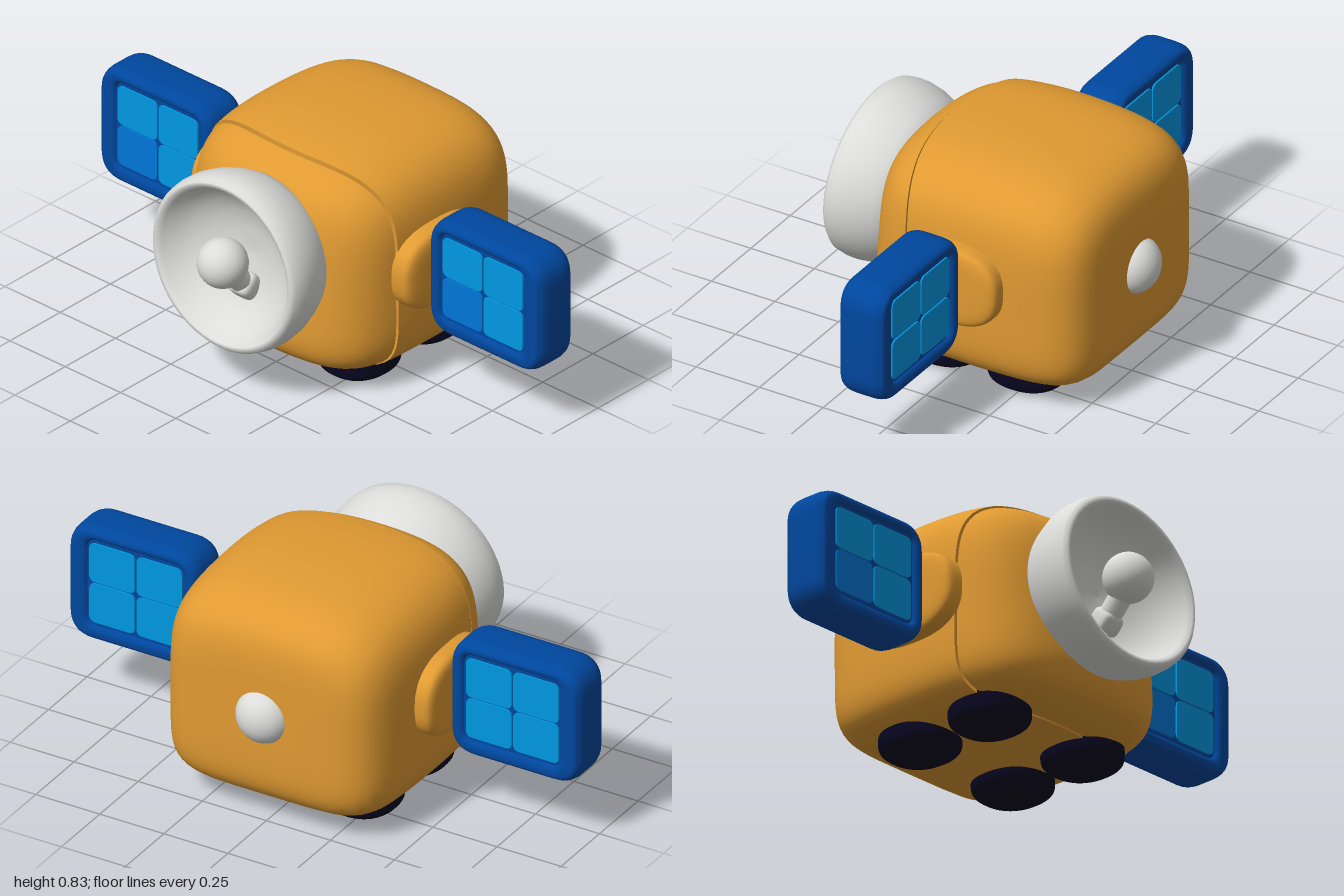
import * as THREE from 'three';
import { mergeVertices, toCreasedNormals } from 'three/addons/utils/BufferGeometryUtils.js';

const paint = (name, color) => {
  const m = new THREE.MeshStandardMaterial({ color });
  m.name = name;
  return m;
};

// Move every vertex by a rule, then weld and smooth
function reshape(g, rule) {
  const pos = g.attributes.position;
  const uv = g.attributes.uv;
  const v = new THREE.Vector3();
  for (let i = 0; i < pos.count; i++) {
    v.fromBufferAttribute(pos, i);
    rule(v, uv.getX(i), uv.getY(i));
    pos.setXYZ(i, v.x, v.y, v.z);
  }
  g.deleteAttribute('normal');
  g.deleteAttribute('uv');
  const merged = mergeVertices(g, 1e-5);
  merged.computeVertexNormals();
  return merged;
}

const power = (p, q, n) => Math.pow(Math.abs(p) ** n + Math.abs(q) ** n, 1 / n);

// Soft pillow block: exponent a rounds the x-y outline, b rounds the z edges
function softBox(hx, hy, hz, a, b, segments) {
  return reshape(new THREE.BoxGeometry(2, 2, 2, segments, segments, segments), (v) => {
    v.divideScalar(power(power(v.x, v.y, a), v.z, b));
    v.set(v.x * hx, v.y * hy, v.z * hz);
  });
}

// Half of the body, from a bowed seam to the front (side 1) or back (side -1) pole
function bodyShell(hx, hy, b, side, gap) {
  const rows = 36;
  const g = new THREE.PlaneGeometry(1, 1, 112, rows);
  return toCreasedNormals(reshape(g, (v, u, w) => {
    const row = Math.round((side > 0 ? w : 1 - w) * rows);
    const angle = u * Math.PI * 2;
    const c = Math.cos(angle), s = Math.sin(angle);
    const d = power(c, s, s > 0 ? 4.2 : 5.5);
    const ox = c / d, oy = s / d;
    const zSeam = (0.28 - 0.04 * ox * ox + 0.017 * oy + gap) / 0.45;
    const start = Math.atan2(zSeam, Math.pow(1 - zSeam ** b, 1 / b));
    const t = Math.max(0, row - 1) / (rows - 1);
    const tilt = THREE.MathUtils.lerp(start, side * Math.PI / 2, t);
    const k = power(Math.cos(tilt), Math.sin(tilt), b);
    const r = Math.cos(tilt) / k, zn = Math.sin(tilt) / k;
    const xn = ox * r, yn = oy * r;
    // Domed roof, flat belly, tapered ends and bowed front
    let x = hx * xn * (1 - 0.06 * zn * zn);
    let y = hy * yn * (yn > 0 ? 1 - 0.1 * zn * zn - 0.06 * xn * xn : 0.79);
    let z = 0.45 * zn;
    if (zn > 0) z -= zn * (y * 0.07 + 0.06 * xn * xn);
    // First row is a lip turned inward at the seam
    if (row === 0) {
      x *= 0.93;
      y *= 0.93;
    }
    v.set(x, y, z);
  }), 0.6);
}

function roundedRect(target, w, h, r, cx = 0, cy = 0) {
  const x = w / 2, y = h / 2;
  target.moveTo(cx - x + r, cy - y);
  target.lineTo(cx + x - r, cy - y);
  target.quadraticCurveTo(cx + x, cy - y, cx + x, cy - y + r);
  target.lineTo(cx + x, cy + y - r);
  target.quadraticCurveTo(cx + x, cy + y, cx + x - r, cy + y);
  target.lineTo(cx - x + r, cy + y);
  target.quadraticCurveTo(cx - x, cy + y, cx - x, cy + y - r);
  target.lineTo(cx - x, cy - y + r);
  target.quadraticCurveTo(cx - x, cy - y, cx - x + r, cy - y);
  return target;
}

export function createModel() {
  const model = new THREE.Group();
  model.name = 'satellite';
  const orange = paint('orange shell', 0xe09a32);
  const white = paint('off white', 0xdcdcda);
  const navy = paint('panel frame blue', 0x00479e);
  const cyan = paint('solar cell blue', 0x0098e2);
  const midBlue = paint('deep cell blue', 0x0076d8);
  const dark = paint('dark feet', 0x080520);

  const add = (parent, name, geometry, material, x = 0, y = 0, z = 0) => {
    const mesh = new THREE.Mesh(geometry, material);
    mesh.name = name;
    mesh.position.set(x, y, z);
    parent.add(mesh);
    return mesh;
  };

  // Body: two shells with a fine groove between them, and a core behind the groove
  add(model, 'rearBody', bodyShell(0.442, 0.435, 6, -1, 0), orange, 0, 0.4, -0.09);
  add(model, 'frontBody', bodyShell(0.442, 0.432, 5, 1, 0.009), orange, 0, 0.4, -0.09);
  add(model, 'seamCore', softBox(0.395, 0.345, 0.1, 4.6, 6, 16), orange, 0, 0.41, 0.14);

  // Dish antenna, facing slightly upward
  const profile = [
    [0.2, -0.27], [0.262, -0.23], [0.288, -0.18], [0.307, -0.13], [0.316, -0.08], [0.316, -0.045],
    [0.31, -0.012], [0.298, 0.002], [0.285, 0.002], [0.274, -0.015], [0.25, -0.06], [0.212, -0.1],
    [0.158, -0.132], [0.09, -0.15], [0, -0.157],
  ].map(([r, y]) => new THREE.Vector2(r, y));
  const dish = add(model, 'dish', new THREE.LatheGeometry(profile, 56), white, 0, 0.489, 0.52);
  dish.scale.x = 1.04;
  dish.rotation.x = Math.PI / 2 - 0.07;
  add(model, 'feedBall', new THREE.SphereGeometry(0.088, 32, 20), white, -0.004, 0.5, 0.512);
  const stem = new THREE.Group();
  stem.name = 'feedStem';
  stem.position.set(0, 0.42, 0.45);
  stem.rotation.x = 0.75;
  add(stem, 'stemRod', new THREE.CapsuleGeometry(0.04, 0.12, 6, 16), white);
  add(stem, 'stemFoot', softBox(0.046, 0.04, 0.045, 4, 4, 8), white, 0, -0.065, 0);
  model.add(stem);

  // Rear knob
  add(model, 'rearKnob', new THREE.SphereGeometry(0.1, 32, 20), white, 0, 0.42, -0.515).scale.z = 0.85;

  // Feet
  const footGeo = softBox(0.13, 0.14, 0.062, 2.3, 3.6, 16);
  footGeo.rotateX(Math.PI / 2);
  for (const x of [-0.225, 0.225]) {
    for (const z of [0.083, -0.238]) add(model, 'foot', footGeo, dark, x, 0.062, z);
  }

  // Side mounts
  const mountGeo = softBox(0.205, 0.15, 0.07, 2.6, 6, 20);
  mountGeo.rotateY(Math.PI / 2);

  // Solar panels: rounded raised frame, backing slab and recessed cells on both faces
  const backingGeo = new THREE.BoxGeometry(0.44, 0.38, 0.146);
  const cellGeo = new THREE.ExtrudeGeometry(roundedRect(new THREE.Shape(), 0.178, 0.15, 0.025), {
    depth: 0.007, bevelEnabled: false, curveSegments: 5,
  });
  for (const side of [-1, 1]) {
    add(model, 'sideMount', mountGeo, orange, side * 0.433, 0.447, -0.06);
    const panel = new THREE.Group();
    panel.name = side > 0 ? 'leftSolarPanel' : 'rightSolarPanel';
    panel.position.set(side * 0.745, 0.455, -0.047);
    const ox = -side * 0.01, oy = 0.006;
    const outline = roundedRect(new THREE.Shape(), 0.46, 0.39, 0.075);
    outline.holes.push(roundedRect(new THREE.Path(), 0.415, 0.365, 0.06, ox, oy));
    const frameGeo = new THREE.ExtrudeGeometry(outline, {
      depth: 0.064, bevelThickness: 0.055, bevelSize: 0.025, bevelSegments: 6, curveSegments: 8,
    });
    frameGeo.translate(0, 0, -0.032);
    add(panel, 'panelFrame', toCreasedNormals(frameGeo, 0.7), navy);
    add(panel, 'panelBacking', backingGeo, navy);
    for (const cx of [-1, 1]) {
      for (const cy of [-1, 1]) {
        const x = cx * 0.092 + ox, y = cy * 0.078 + oy;
        add(panel, 'frontCell', cellGeo, cx < 0 && cy < 0 ? midBlue : cyan, x, y, 0.072);
        add(panel, 'backCell', cellGeo, cyan, x, y, -0.079);
      }
    }
    model.add(panel);
  }
  return model;
}
